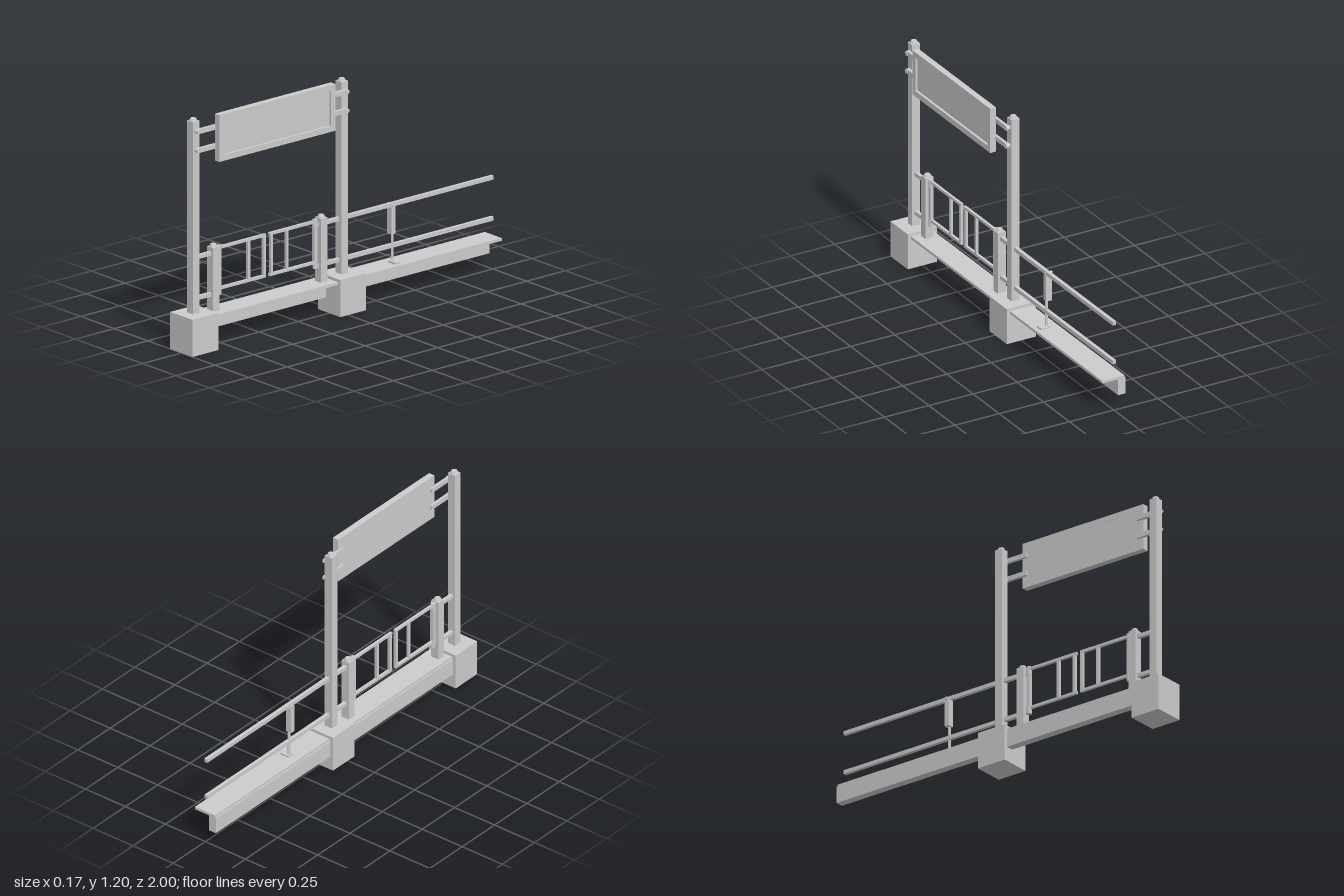
import * as THREE from 'three';

export function createModel() {
  const model = new THREE.Group();
  const mat = new THREE.MeshStandardMaterial({ color: 0xcccccc, flatShading: true });
  const PX = -0.003; // line of the posts and rails

  const add = (name, geo, x, y, z) => {
    const m = new THREE.Mesh(geo, mat);
    m.name = name;
    m.position.set(x, y, z);
    model.add(m);
    return m;
  };
  // box given by its limits on each axis
  const box = (name, [x0, x1], [y0, y1], [z0, z1]) =>
    add(name, new THREE.BoxGeometry(x1 - x0, y1 - y0, z1 - z0),
      (x0 + x1) / 2, (y0 + y1) / 2, (z0 + z1) / 2);
  const rod = (name, r, y0, y1, x, z, sides = 8, rTop = r) =>
    add(name, new THREE.CylinderGeometry(rTop, r, y1 - y0, sides), x, (y0 + y1) / 2, z);

  // foundation blocks
  for (const z of [0.917, -0.032])
    box('foundationBlock', [-0.083, 0.083], [0, 0.19], [z - 0.083, z + 0.083]);

  // platform edge: wall on the left-hand side under a thin slab
  box('edgeWall', [-0.066, -0.024], [0.075, 0.162], [-1, 0.84]);
  box('slab', [-0.06, 0.066], [0.161, 0.175], [-1, 0.84]);

  // square posts with faceted caps
  const post = (name, z, y0, y1) => {
    box(name, [PX - 0.0225, PX + 0.0225], [y0, y1], [z - 0.021, z + 0.021]);
    rod(name + 'Cap', 0.02, y1, y1 + 0.013, PX, z, 8, 0.015);
  };
  for (const z of [0.921, -0.032]) post('tallPost', z, 0.18, 1.173);
  for (const z of [0.792, 0.1]) {
    post('gatePost', z, 0.17, 0.502);
    rod('gatePostNut', 0.022, 0.15, 0.163, PX, z, 6);
  }

  // long rails behind and short rails in front
  for (const y of [0.47, 0.26]) {
    const h = [y - 0.01, y + 0.01], w = [PX - 0.009, PX + 0.009];
    box('longRail', w, h, [-1, 0.1]);
    box('shortRail', w, h, [0.792, 0.921]);
    for (const z of [0.757, 0.14]) {
      rod('hinge', 0.013, y - 0.012, y + 0.03, PX, z);
      box('hingeArm', [PX - 0.007, PX + 0.007], h, z > 0.5 ? [0.757, 0.792] : [0.1, 0.14]);
    }
  }

  // pair of gate leaves
  for (const [z0, z1, bars] of [[0.459, 0.77, [0.757, 0.567, 0.468]], [0.13, 0.436, [0.14, 0.322, 0.422]]]) {
    for (const y of [0.488, 0.279])
      box('gateRail', [PX - 0.007, PX + 0.007], [y - 0.007, y + 0.007], [z0, z1]);
    bars.forEach((z, i) => {
      const r = i ? 0.0075 : 0.0095;
      box('gateBar', [PX - r, PX + r], [0.276, 0.488], [z - r, z + r]);
    });
  }

  // rail support with foot
  const SZ = -0.354;
  box('supportFoot', [-0.012, 0.042], [0.175, 0.184], [SZ - 0.018, SZ + 0.018]);
  rod('supportRod', 0.007, 0.18, 0.33, 0, SZ);
  box('supportSleeve', [-0.024, 0.009], [0.32, 0.46], [SZ - 0.013, SZ + 0.013]);
  const bolt = add('supportBolt', new THREE.CylinderGeometry(0.008, 0.008, 0.04, 8), -0.011, 0.466, SZ);
  bolt.rotation.z = Math.PI / 2;

  // sign: frame with a recessed panel facing +x
  const rect = (Type, w, h) => new Type([[-w, -h], [w, -h], [w, h], [-w, h]]
    .map(([x, y]) => new THREE.Vector2(x, y)));
  const frame = rect(THREE.Shape, 0.3725, 0.12);
  frame.holes.push(rect(THREE.Path, 0.345, 0.09));
  const frameMesh = add('signFrame',
    new THREE.ExtrudeGeometry(frame, { depth: 0.033, bevelEnabled: false }), 0.035, 1.075, 0.4425);
  frameMesh.rotation.y = Math.PI / 2;
  box('signPanel', [0.0352, 0.055], [0.985, 1.165], [0.0975, 0.7875]);

  // arms carrying the sign, each with a round bolted end on its post
  for (const y of [1.125, 1.028])
    for (const [zPost, zSign] of [[0.921, 0.78], [-0.032, 0.1]]) {
      box('signArm', [0.023, 0.0385], [y - 0.012, y + 0.012],
        [Math.min(zPost, zSign), Math.max(zPost, zSign)]);
      const end = add('signArmEnd', new THREE.CylinderGeometry(0.0122, 0.0122, 0.024, 10), 0.03, y, zPost);
      end.rotation.z = Math.PI / 2;
    }

  return model;
}
